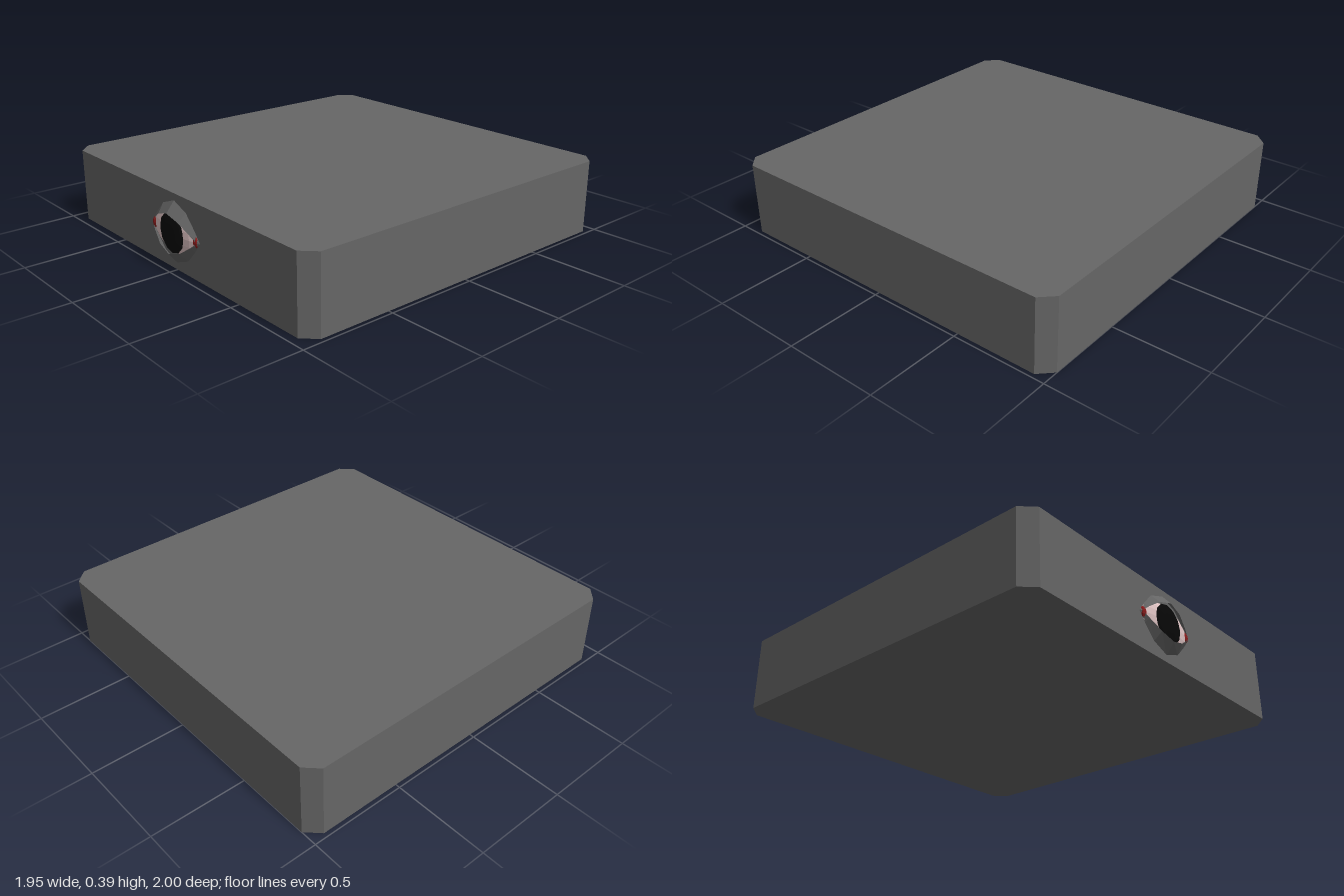
import * as THREE from 'three';

const mat = (color) => new THREE.MeshStandardMaterial({ color, flatShading: true });
const EYE_Y = 0.195, FRONT = 0.955;

function add(parent, name, geometry, material) {
  const mesh = new THREE.Mesh(geometry, material);
  mesh.name = name;
  parent.add(mesh);
  return mesh;
}

// Upper eyelid: strip from the slab face out to the eye opening; sign -1 mirrors it downwards
function lidGeometry(sign) {
  const outer = [[-0.21, 0], [-0.165, 0.055], [-0.1, 0.123], [0, 0.16], [0.1, 0.123], [0.165, 0.055], [0.21, 0]];
  const inner = [[-0.19, 0], [-0.155, 0.03], [-0.085, 0.077], [0, 0.102], [0.085, 0.077], [0.155, 0.03], [0.19, 0]];
  const pos = [], index = [];
  outer.forEach(([x, y], i) => {
    const [u, v] = inner[i];
    pos.push(x, sign * y, FRONT - 0.002);
    pos.push(u, sign * v, 1 - 0.045 * (u / 0.21) ** 2);
    if (i < outer.length - 1) {
      const a = i * 2;
      if (sign > 0) index.push(a, a + 1, a + 2, a + 1, a + 3, a + 2);
      else index.push(a, a + 2, a + 1, a + 1, a + 2, a + 3);
    }
  });
  const g = new THREE.BufferGeometry();
  g.setAttribute('position', new THREE.Float32BufferAttribute(pos, 3));
  g.setIndex(index);
  g.computeVertexNormals();
  return g;
}

export function createModel() {
  const model = new THREE.Group();
  const stone = mat(0x666666);

  // Slab with four cut corners
  const w = 0.977, back = -1, c = 0.068;
  const outline = new THREE.Shape([
    [-w + c, -FRONT], [w - c, -FRONT], [w, -FRONT + c], [w, -back - c],
    [w - c, -back], [-w + c, -back], [-w, -back - c], [-w, -FRONT + c],
  ].map(([x, y]) => new THREE.Vector2(x, y)));
  const slab = new THREE.ExtrudeGeometry(outline, { depth: 0.388, bevelEnabled: false });
  slab.rotateX(-Math.PI / 2);
  add(model, 'slab', slab, stone);

  // Eye set in the middle of the front face
  const eye = new THREE.Group();
  eye.name = 'eye';
  eye.position.y = EYE_Y;
  model.add(eye);

  const lidMaterial = stone.clone();
  lidMaterial.side = THREE.DoubleSide;
  add(eye, 'upperEyelid', lidGeometry(1), lidMaterial);
  add(eye, 'lowerEyelid', lidGeometry(-1), lidMaterial);

  const ball = add(eye, 'eyeball', new THREE.SphereGeometry(1, 16, 10), mat(0xe0c4c4));
  ball.scale.set(0.2, 0.115, 0.045);
  ball.position.z = 0.94;

  // Domed black pupil
  const pupil = new THREE.SphereGeometry(1, 12, 3, 0, Math.PI * 2, 0, Math.PI / 2);
  pupil.rotateX(Math.PI / 2);
  pupil.scale(0.102, 0.102, 0.014);
  add(eye, 'pupil', pupil, mat(0x080808)).position.z = 0.977;

  // Red flesh in both corners
  for (const side of [-1, 1]) {
    const corner = add(eye, side > 0 ? 'leftEyeCorner' : 'rightEyeCorner',
      new THREE.SphereGeometry(1, 8, 6), mat(0x8c1c1c));
    corner.scale.set(0.022, 0.03, 0.016);
    corner.position.set(side * 0.175, 0, 0.953);
  }
  return model;
}
